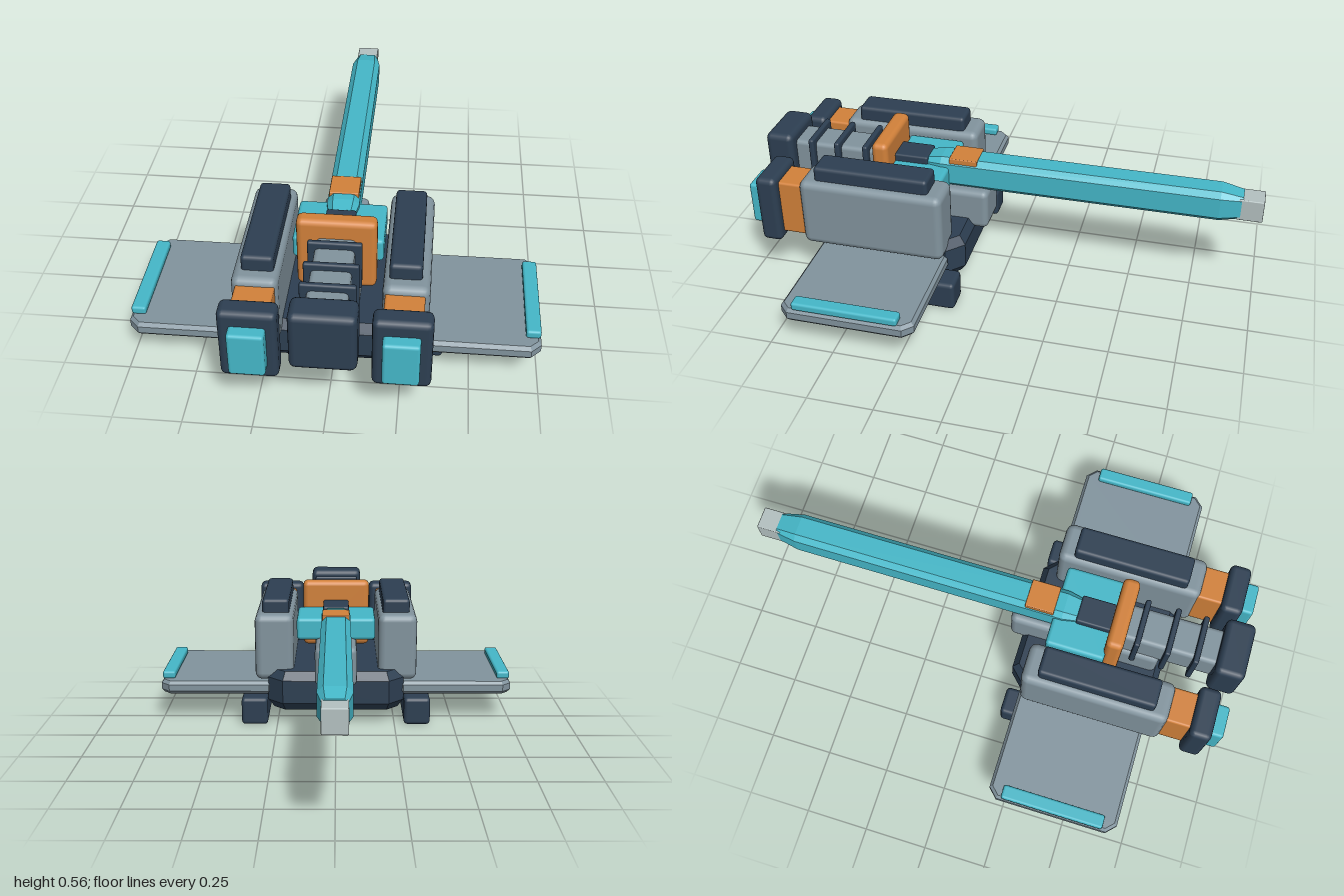
import * as THREE from 'three';
import { RoundedBoxGeometry } from 'three/addons/geometries/RoundedBoxGeometry.js';

const mat = (name, color) => {
  const m = new THREE.MeshStandardMaterial({ color });
  m.name = name;
  return m;
};

// rectangle with cut corners, extruded along z with a bevelled rim at both ends
function prism(w, h, d, cut, inset, taper) {
  const a = w / 2 - inset, b = h / 2 - inset;
  const pts = [[a, b - cut], [a - cut, b], [cut - a, b], [-a, b - cut],
    [-a, cut - b], [cut - a, -b], [a - cut, -b], [a, cut - b]];
  const shape = new THREE.Shape(pts.map(([x, y]) => new THREE.Vector2(x, y)));
  const g = new THREE.ExtrudeGeometry(shape, {
    depth: d - 2 * taper, bevelSize: inset, bevelThickness: taper, bevelSegments: 1,
  });
  return g.translate(0, 0, taper - d / 2);
}

export function createModel() {
  const model = new THREE.Group();
  model.name = 'hoverCannon';
  const navy = mat('navy', 0x2d3f52);
  const grey = mat('steelGrey', 0x82949e);
  const orange = mat('orange', 0xd2813a);
  const cyan = mat('cyan', 0x45b8c9);
  const silver = mat('silver', 0xb4c1c1);

  const add = (name, geo, material, x, y, z) => {
    const m = new THREE.Mesh(geo, material);
    m.name = name;
    m.position.set(x, y, z);
    model.add(m);
    return m;
  };
  // rounded block given by its extents on each axis
  const block = (name, material, [x0, x1], [y0, y1], [z0, z1], r = 0.015) =>
    add(name, new RoundedBoxGeometry(x1 - x0, y1 - y0, z1 - z0, 2, r), material,
      (x0 + x1) / 2, (y0 + y1) / 2, (z0 + z1) / 2);
  // the same block on both sides
  const pair = (name, material, [x0, x1], y, z, r) => {
    block(name + 'Left', material, [x0, x1], y, z, r);
    block(name + 'Right', material, [-x1, -x0], y, z, r);
  };

  // hull with cut plan corners
  add('hull', prism(0.58, 0.58, 0.17, 0.05, 0.025, 0.035).rotateX(Math.PI / 2),
    navy, 0, 0.145, 0.42);

  // wings
  for (const s of [1, -1]) {
    add(s > 0 ? 'wingLeft' : 'wingRight',
      prism(0.5, 0.52, 0.056, 0.03, 0.012, 0.014).rotateX(Math.PI / 2),
      grey, s * 0.502, 0.147, 0.445);
  }
  pair('wingStrip', cyan, [0.695, 0.75], [0.172, 0.205], [0.24, 0.65], 0.01);
  pair('skid', navy, [0.29, 0.402], [0, 0.118], [0.13, 0.595], 0.016);

  // side pods with their front thrusters
  pair('pod', grey, [0.18, 0.345], [0.18, 0.465], [0.19, 0.768], 0.03);
  pair('podRoof', navy, [0.2, 0.315], [0.44, 0.522], [0.25, 0.71], 0.015);
  pair('podCollar', orange, [0.19, 0.328], [0.21, 0.44], [0.75, 0.87], 0.01);
  pair('podCap', navy, [0.158, 0.362], [0.18, 0.465], [0.855, 0.94], 0.022);
  pair('podLamp', cyan, [0.195, 0.322], [0.235, 0.41], [0.92, 0.988], 0.012);

  // central turret
  block('turretBase', grey, [-0.088, 0.088], [0.185, 0.355], [0.075, 0.685], 0.025);
  block('gunCradle', cyan, [-0.168, 0.168], [0.345, 0.44], [0.24, 0.475], 0.015);
  block('breech', navy, [-0.056, 0.056], [0.35, 0.47], [0.33, 0.48], 0.008);
  block('turretFrame', orange, [-0.146, 0.146], [0.265, 0.555], [0.465, 0.532], 0.022);

  // barrel pointing backwards
  add('barrel', prism(0.122, 0.128, 1.28, 0.012, 0.017, 0.085), cyan, 0, 0.412, -0.28);
  block('barrelTip', silver, [-0.045, 0.045], [0.364, 0.454], [-1, -0.9], 0.004);
  block('barrelBand', orange, [-0.057, 0.057], [0.42, 0.48], [0.125, 0.24], 0.004);

  // ribbed shaft and counterweight at the front
  block('shaft', grey, [-0.072, 0.072], [0.333, 0.483], [0.5, 0.9], 0.018);
  [0.58, 0.7, 0.81].forEach((z, i) => block('shaftRing' + (i + 1), navy,
    [-0.098, 0.098], [0.308, 0.508], [z - 0.011, z + 0.011], 0.008));
  block('counterweight', navy, [-0.115, 0.115], [0.29, 0.522], [0.885, 1], 0.024);

  return model;
}
